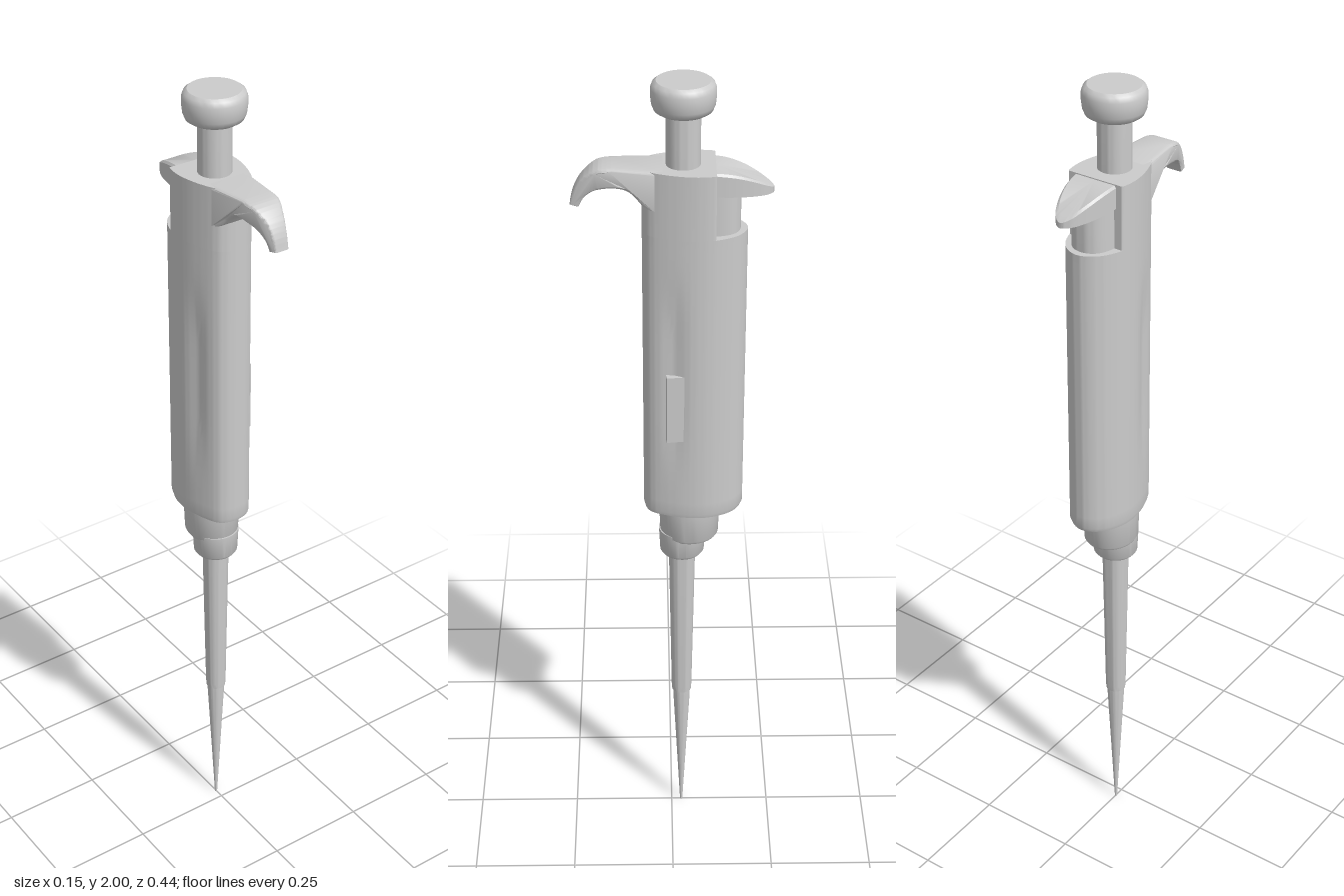
import * as THREE from 'three';
import { toCreasedNormals } from 'three/addons/utils/BufferGeometryUtils.js';

const AXIS_Z = -0.025; // common axis of plunger, shaft and tip

export function createModel() {
  const model = new THREE.Group();
  const material = new THREE.MeshStandardMaterial({ color: 0xcccccc });

  const add = (name, geometry, z = 0) => {
    const mesh = new THREE.Mesh(toCreasedNormals(geometry, 0.6), material);
    mesh.name = name;
    mesh.position.z = z;
    model.add(mesh);
    return mesh;
  };
  const vectors = points => points.map(p => new THREE.Vector2(p[0], p[1]));
  const lathe = (name, points, z = AXIS_Z) =>
    add(name, new THREE.LatheGeometry(vectors(points), 40), z);

  // Capped solid from horizontal rings of [x, z] points, listed from bottom to top
  const loft = (outline, heights, rule) => {
    const n = outline.length, pos = [], idx = [];
    heights.forEach(y => outline.forEach(p => {
      const [x, z] = rule(p.x, p.z, y);
      pos.push(x, y, z);
    }));
    for (let j = 0; j < heights.length - 1; j++) {
      for (let i = 0; i < n; i++) {
        const a = j * n + i, b = j * n + (i + 1) % n;
        idx.push(a, b, b + n, a, b + n, a + n);
      }
    }
    const last = (heights.length - 1) * n, c = heights.length * n;
    pos.push(0, heights[0], AXIS_Z, 0, heights[heights.length - 1], AXIS_Z);
    for (let i = 0; i < n; i++) {
      const k = (i + 1) % n;
      idx.push(c, k, i, c + 1, last + i, last + k);
    }
    const g = new THREE.BufferGeometry();
    g.setAttribute('position', new THREE.Float32BufferAttribute(pos, 3));
    g.setIndex(idx);
    return g;
  };

  // Egg-shaped handle section, front to back, mirrored
  const half = [[0.04, 0.054], [0.061, 0.015], [0.075, -0.05], [0.069, -0.1], [0.042, -0.148]];
  const section = [[0, 0.066], ...half, [0, -0.168], ...half.slice().reverse().map(p => [-p[0], p[1]])];
  const outline = new THREE.CatmullRomCurve3(
    section.map(p => new THREE.Vector3(p[0], 0, p[1])), true).getSpacedPoints(96).slice(0, 96);

  // Shallow finger hollow along both sides, rounded lower rim
  const handleRule = (x, z, y) => {
    const along = THREE.MathUtils.smoothstep(y, 1.0, 1.25) * (1 - THREE.MathUtils.smoothstep(y, 1.4, 1.6));
    const hollow = 0.007 * along * Math.exp(-(((z + 0.005) / 0.022) ** 2));
    const rim = y < 0.945 ? 0.97 : 1;
    return [(x - Math.sign(x) * Math.min(hollow, Math.abs(x))) * rim, AXIS_Z + (z - AXIS_Z) * rim];
  };
  const heights = [0.94, 0.95];
  for (let i = 1; i <= 24; i++) heights.push(0.95 + (0.71 * i) / 24);
  add('handle', loft(outline, heights, handleRule));
  add('handleTop', loft(outline, [1.66, 1.81], (x, z) => [x, Math.max(z, -0.096)]));

  // Reading window on the left side
  const windowPanel = add('window', new THREE.BoxGeometry(0.02, 0.17, 0.063), -0.018);
  windowPanel.position.x = 0.061;
  windowPanel.position.y = 1.235;
  windowPanel.rotation.y = 0.12;

  // Finger hook: side profile extruded, then narrowed towards the tip
  const hookShape = new THREE.Shape();
  hookShape.moveTo(0.02, 1.81);
  hookShape.lineTo(0.13, 1.814);
  hookShape.splineThru(vectors([[0.165, 1.808], [0.195, 1.785], [0.213, 1.755], [0.222, 1.722]]));
  hookShape.lineTo(0.203, 1.718);
  hookShape.splineThru(vectors([[0.19, 1.742], [0.165, 1.762], [0.13, 1.768], [0.095, 1.76], [0.066, 1.73]]));
  hookShape.lineTo(0.02, 1.7);
  const hook = new THREE.ExtrudeGeometry(hookShape, {
    depth: 0.064, bevelThickness: 0.008, bevelSize: 0.006, bevelOffset: -0.006, bevelSegments: 3, curveSegments: 12,
  });
  hook.translate(0, 0, -0.032);
  hook.rotateY(-Math.PI / 2);
  const hp = hook.attributes.position;
  for (let i = 0; i < hp.count; i++) {
    const z = hp.getZ(i);
    const taper = 1 - 0.55 * THREE.MathUtils.smoothstep(z, 0.14, 0.225);
    const flare = 1 + 0.35 * (1 - THREE.MathUtils.smoothstep(z, 0.02, 0.085));
    hp.setX(i, hp.getX(i) * taper * flare);
  }
  add('fingerHook', hook);

  // Ejector button: rounded plan, thinning and drooping towards the back
  const buttonHalf = [[0.055, -0.09], [0.05, -0.13], [0.038, -0.175], [0.02, -0.21]];
  const buttonPlan = new THREE.CatmullRomCurve3(
    [...buttonHalf, [0, -0.223], ...buttonHalf.slice().reverse().map(p => [-p[0], p[1]])]
      .map(p => new THREE.Vector3(p[0], 0, p[1]))).getPoints(48);
  const button = loft(buttonPlan, [0, 0.65, 0.9, 1], (x, z, y) => {
    const inset = y > 0.95 ? 0.92 : 1;
    return [x * inset, -0.09 + (z + 0.09) * inset];
  });
  const bp = button.attributes.position;
  for (let i = 0; i < bp.count; i++) {
    // cap centres move into the plan
    if (i >= bp.count - 2) bp.setZ(i, -0.1);
    const t = THREE.MathUtils.clamp((-0.09 - bp.getZ(i)) / 0.133, 0, 1);
    const bottom = 1.755 - 0.01 * t, top = 1.808 - 0.043 * t * t - 0.006 * t;
    bp.setY(i, bottom + (top - bottom) * bp.getY(i));
  }
  add('ejectorButton', button);

  // Ejector stem under the button
  const stemShape = new THREE.Shape();
  stemShape.moveTo(-0.05, 0.09);
  stemShape.lineTo(0.05, 0.09);
  stemShape.quadraticCurveTo(0.046, 0.15, 0, 0.152);
  stemShape.quadraticCurveTo(-0.046, 0.15, -0.05, 0.09);
  const stem = new THREE.ExtrudeGeometry(stemShape, { depth: 0.12, bevelEnabled: false, curveSegments: 12 });
  stem.rotateX(-Math.PI / 2);
  stem.translate(0, 1.645, 0);
  add('ejectorStem', stem);

  // Plunger rod and cap
  lathe('plungerRod', [[0, 1.78], [0.038, 1.78], [0.038, 1.94], [0, 1.94]]);
  lathe('plungerCap', [[0, 1.93], [0.055, 1.93], [0.064, 1.936], [0.069, 1.948], [0.071, 1.965],
    [0.071, 1.983], [0.067, 1.994], [0.059, 2], [0, 2]]);

  // Collars below the handle; the upper one is deeper towards the back
  const collar = lathe('upperCollar', [[0, 0.855], [0.058, 0.855], [0.062, 0.862], [0.065, 0.95], [0, 0.95]], -0.042);
  collar.scale.z = 1.12;
  lathe('lowerCollar', [[0, 0.803], [0.048, 0.803], [0.053, 0.81], [0.056, 0.87], [0, 0.87]]);

  // Tapered shaft and disposable tip
  lathe('shaft', [[0, 0.375], [0.024, 0.375], [0.025, 0.39], [0.032, 0.81], [0, 0.81]]);
  lathe('tip', [[0, 0], [0.003, 0], [0.008, 0.1], [0.021, 0.36], [0.021, 0.38], [0, 0.38]]);

  return model;
}
